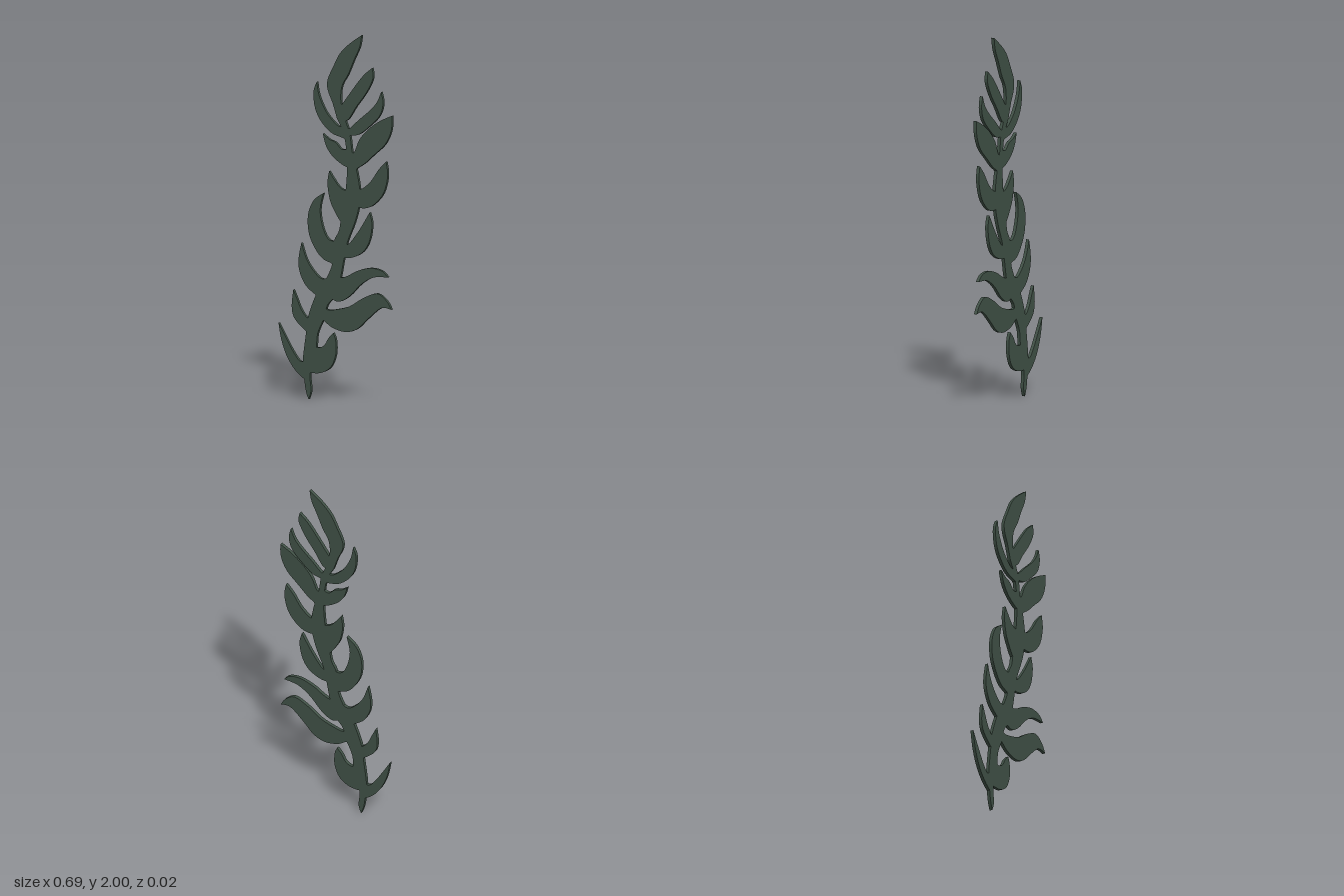
import * as THREE from 'three';

const DEPTH = 0.018;

// Smooth run of points through a few [x, y] pairs.
function edge(points) {
  const curve = new THREE.SplineCurve(points.map(([x, y]) => new THREE.Vector2(x, y)));
  return curve.getPoints((points.length - 1) * 4);
}

// Flat cut-out bounded by an outgoing edge and a returning edge.
function plate(name, out, back, material) {
  const shape = new THREE.Shape([...edge(out), ...edge(back).slice(1)]);
  const geometry = new THREE.ExtrudeGeometry(shape, { depth: DEPTH, bevelEnabled: false });
  geometry.translate(0, 0, -DEPTH / 2);
  const mesh = new THREE.Mesh(geometry, material);
  mesh.name = name;
  return mesh;
}

export function createModel() {
  const group = new THREE.Group();
  group.name = 'leafyFrond';
  const green = new THREE.MeshStandardMaterial({ color: 0x3f5045 });
  green.name = 'dark leaf green';

  // Each leaf runs along its lower edge to the tip, then back along its upper edge.
  const leaf = (name, lower, tip, upper) =>
    group.add(plate(name, [...lower, tip], [tip, ...upper], green));

  // Winding stem: right edge upwards, left edge downwards
  group.add(plate('stem',
    [[-0.165, 0], [-0.15, 0.05], [-0.155, 0.14], [-0.12, 0.26], [-0.11, 0.36], [-0.07, 0.45], [-0.05, 0.52],
      [0, 0.58], [0.03, 0.68], [0.05, 0.78], [0.07, 0.87], [0.115, 0.98], [0.14, 1.07], [0.145, 1.16],
      [0.13, 1.25], [0.1, 1.36], [0.085, 1.46], [0.055, 1.54], [0.035, 1.62]],
    [[0.035, 1.62], [0, 1.56], [0.04, 1.48], [0.06, 1.4], [0.07, 1.3], [0.06, 1.15], [0.035, 1.02],
      [0.02, 0.93], [-0.01, 0.87], [-0.02, 0.75], [-0.06, 0.66], [-0.12, 0.57], [-0.17, 0.44],
      [-0.18, 0.36], [-0.2, 0.2], [-0.19, 0.1], [-0.18, 0.04], [-0.165, 0]], green));

  // Tip leaf
  leaf('topLeaf',
    [[0.04, 1.54], [0.03, 1.65], [0.04, 1.72], [0.075, 1.78], [0.11, 1.86], [0.145, 1.935]], [0.157, 2],
    [[0.08, 1.945], [0.025, 1.89], [-0.013, 1.82], [-0.05, 1.74], [-0.048, 1.685], [-0.02, 1.62], [0, 1.56]]);

  // Leaves on the -x side, bottom to top
  leaf('rightLeaf1',
    [[-0.165, 0.09], [-0.24, 0.145], [-0.295, 0.22], [-0.33, 0.31]], [-0.347, 0.4],
    [[-0.3, 0.32], [-0.25, 0.24], [-0.21, 0.2], [-0.16, 0.22]]);
  leaf('rightLeaf2',
    [[-0.14, 0.34], [-0.175, 0.365], [-0.215, 0.395], [-0.255, 0.44], [-0.267, 0.5]], [-0.257, 0.587],
    [[-0.235, 0.54], [-0.21, 0.485], [-0.17, 0.44], [-0.13, 0.46]]);
  leaf('rightLeaf3',
    [[-0.08, 0.55], [-0.13, 0.575], [-0.185, 0.62], [-0.22, 0.69], [-0.225, 0.76]], [-0.208, 0.845],
    [[-0.18, 0.765], [-0.14, 0.705], [-0.085, 0.66], [-0.03, 0.68]]);
  leaf('rightLeaf4',
    [[0.01, 0.73], [-0.03, 0.75], [-0.08, 0.77], [-0.125, 0.82], [-0.163, 0.9], [-0.168, 1], [-0.135, 1.08]],
    [-0.075, 1.125],
    [[-0.095, 1.03], [-0.075, 0.93], [-0.035, 0.872], [0.03, 0.88]]);
  leaf('rightLeaf5',
    [[0.06, 0.96], [0.025, 0.985], [-0.005, 1.03], [-0.035, 1.09], [-0.05, 1.18]], [-0.04, 1.247],
    [[-0.01, 1.205], [0.025, 1.165], [0.065, 1.15], [0.1, 1.17]]);
  leaf('rightLeaf6',
    [[0.1, 1.27], [0.06, 1.28], [0.02, 1.3], [-0.025, 1.335], [-0.06, 1.385]], [-0.078, 1.447],
    [[-0.04, 1.42], [0, 1.405], [0.04, 1.37], [0.085, 1.385]]);
  leaf('rightLeaf7',
    [[0.08, 1.42], [0.04, 1.435], [-0.025, 1.455], [-0.087, 1.51], [-0.125, 1.58], [-0.135, 1.67]], [-0.115, 1.725],
    [[-0.1, 1.65], [-0.06, 1.57], [-0.015, 1.52], [0.02, 1.495], [0.05, 1.5]]);

  // Leaves on the +x side, bottom to top
  leaf('leftLeaf1',
    [[-0.17, 0.16], [-0.15, 0.145], [-0.087, 0.15], [-0.03, 0.185], [0, 0.255], [0, 0.33]], [-0.015, 0.372],
    [[-0.045, 0.34], [-0.07, 0.3], [-0.11, 0.285], [-0.15, 0.3]]);
  leaf('leftLeaf2',
    [[-0.12, 0.45], [-0.075, 0.435], [-0.02, 0.4], [0.06, 0.383], [0.13, 0.405], [0.195, 0.465], [0.275, 0.53]],
    [0.337, 0.527],
    [[0.31, 0.57], [0.25, 0.607], [0.165, 0.575], [0.085, 0.525], [0, 0.5], [-0.05, 0.495], [-0.1, 0.52]]);
  leaf('leftLeaf3',
    [[-0.06, 0.59], [-0.02, 0.555], [0.025, 0.545], [0.085, 0.58], [0.155, 0.65], [0.23, 0.693]], [0.317, 0.7],
    [[0.28, 0.732], [0.21, 0.742], [0.13, 0.72], [0.075, 0.69], [0.03, 0.675], [-0.02, 0.68]]);
  leaf('leftLeaf4',
    [[0, 0.79], [0.045, 0.785], [0.1, 0.79], [0.165, 0.825], [0.205, 0.89], [0.22, 0.98]], [0.205, 1.043],
    [[0.17, 0.985], [0.13, 0.925], [0.075, 0.86], [0.03, 0.86]]);
  leaf('leftLeaf5',
    [[0.09, 1.08], [0.135, 1.065], [0.185, 1.065], [0.235, 1.09], [0.29, 1.155], [0.315, 1.25]], [0.305, 1.327],
    [[0.26, 1.28], [0.21, 1.21], [0.15, 1.165], [0.1, 1.18]]);
  leaf('leftLeaf6',
    [[0.09, 1.24], [0.13, 1.275], [0.175, 1.305], [0.23, 1.355], [0.3, 1.42], [0.337, 1.5]], [0.34, 1.578],
    [[0.27, 1.545], [0.205, 1.5], [0.145, 1.435], [0.11, 1.36], [0.075, 1.36]]);
  leaf('leftLeaf7',
    [[0.06, 1.44], [0.09, 1.45], [0.14, 1.46], [0.2, 1.505], [0.265, 1.57], [0.287, 1.64]], [0.275, 1.702],
    [[0.25, 1.645], [0.205, 1.595], [0.14, 1.54], [0.085, 1.49], [0.05, 1.48]]);
  leaf('leftLeaf8',
    [[0.04, 1.53], [0.075, 1.535], [0.125, 1.61], [0.185, 1.69], [0.225, 1.77]], [0.22, 1.827],
    [[0.17, 1.785], [0.12, 1.725], [0.06, 1.645], [0.025, 1.6]]);

  return group;
}
